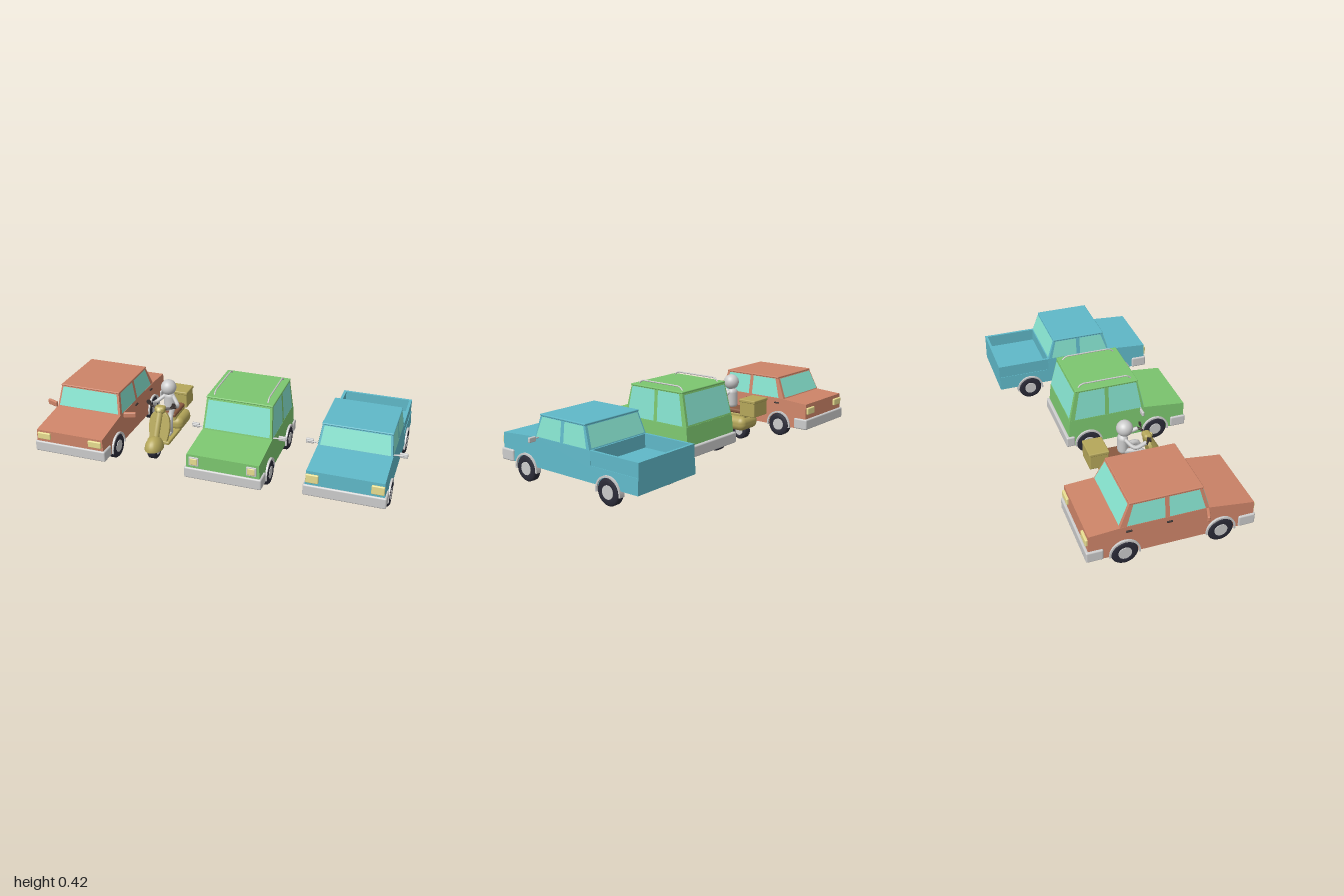
import * as THREE from 'three';
import { RoundedBoxGeometry } from 'three/addons/geometries/RoundedBoxGeometry.js';

const mat = (color) => new THREE.MeshStandardMaterial({ color });
const GREY = mat(0xcccccc), TYRE = mat(0x2b2b38), LAMP = mat(0xe8dd90), DARK = mat(0x3a3230);
const GOLD = mat(0xb5a75a), SEAT = mat(0x8a5a40);
const GLASS = new THREE.MeshStandardMaterial({ color: 0x86e3cf, side: THREE.DoubleSide });
const V = (x, y, z) => new THREE.Vector3(x, y, z);

function add(parent, name, geometry, material, x = 0, y = 0, z = 0) {
  const m = new THREE.Mesh(geometry, material);
  m.name = name;
  m.position.set(x, y, z);
  parent.add(m);
  return m;
}
const box = (w, h, d, r = 0.005) => new RoundedBoxGeometry(w, h, d, 2, r);

// Side profile of [z, y] points, spread across x to the half width w(y)
function prism(profile, w) {
  const shape = new THREE.Shape(profile.map(([z, y]) => new THREE.Vector2(-z, y)));
  const g = new THREE.ExtrudeGeometry(shape, { depth: 2, bevelEnabled: false });
  g.translate(0, 0, -1).rotateY(Math.PI / 2);
  const p = g.attributes.position;
  for (let i = 0; i < p.count; i++) p.setX(i, p.getX(i) * w(p.getY(i)));
  g.computeVertexNormals();
  return g;
}

// Flat pane from four corners
function pane(corners) {
  const g = new THREE.BufferGeometry().setFromPoints(corners);
  g.setIndex([0, 1, 2, 0, 2, 3]);
  g.computeVertexNormals();
  return g;
}

// Rod along a smooth path
const rod = (points, r) => new THREE.TubeGeometry(new THREE.CatmullRomCurve3(points), 16, r, 8);

function wheel(parent, name, x, y, z, r, width) {
  const g = new THREE.Group();
  g.name = name;
  g.position.set(x, y, z);
  parent.add(g);
  const b = 0.008, h = width / 2;
  const outline = [[0.001, -h], [r - b, -h], [r, -h + b], [r, h - b], [r - b, h], [r * 0.55, h], [r * 0.5, h - 0.004], [0.001, h - 0.004]];
  const tyre = new THREE.LatheGeometry(outline.map(([a, c]) => new THREE.Vector2(a, c)), 32);
  add(g, 'tyre', tyre.rotateZ(x < 0 ? Math.PI / 2 : -Math.PI / 2), TYRE);
  add(g, 'hub', new THREE.CylinderGeometry(r * 0.5, r * 0.5, width + 0.002, 24).rotateZ(Math.PI / 2), GREY);
}

// Half ring around a wheel
function archGeometry(r) {
  const s = new THREE.Shape();
  s.absarc(0, 0, r + 0.011, -0.15, Math.PI + 0.15, false);
  s.absarc(0, 0, r + 0.002, Math.PI + 0.15, -0.15, true);
  return new THREE.ExtrudeGeometry(s, { depth: 0.03, bevelEnabled: false, curveSegments: 20 })
    .translate(0, 0, -0.015).rotateY(Math.PI / 2);
}

function car(o) {
  const g = new THREE.Group();
  g.name = o.name;
  g.position.x = o.x;
  const paint = mat(o.color), { belt, roof, roofHalf, cabin } = o;
  const bodyW = (y) => 0.198 - 0.008 * (y - o.bottom) / (belt - o.bottom);
  const cabinW = (y) => 0.189 - (0.189 - roofHalf) * (y - belt) / (roof - belt);
  add(g, 'body', prism(o.body, bodyW), paint);

  // Cabin: [rear base, front base, front top, rear top] along z
  const [rb, fb, ft, rt] = cabin;
  add(g, 'cabin', prism([[rb, belt - 0.005], [fb, belt - 0.005], [ft, roof], [rt, roof]], cabinW), paint);
  add(g, 'roof', box(roofHalf * 2 + 0.008, 0.01, ft - rt + 0.008, 0.004), paint, 0, roof - 0.003, (ft + rt) / 2);

  // Windscreen and rear window
  for (const [base, top, dir, name] of [[fb, ft, 1, 'windscreen'], [rb, rt, -1, 'rearWindow']]) {
    const at = (t, s) => {
      const y = belt + (roof - belt) * t;
      return V(s * dir * (cabinW(y) - 0.011), y + 0.001, base + (top - base) * t + dir * 0.003);
    };
    add(g, name, pane([at(0.05, -1), at(0.05, 1), at(0.91, 1), at(0.91, -1)]), GLASS);
  }
  // Two side windows on each side
  const low = belt + 0.003, high = roof - 0.01;
  for (const s of [-1, 1]) {
    for (const w of o.windows) {
      const pts = [[w[0], low], [w[1], low], [w[2], high], [w[3], high]];
      add(g, 'sideWindow', pane(pts.map(([z, y]) => V(s * (cabinW(y) + 0.002), y, z))), GLASS);
    }
    // Wheels and arches
    for (const z of o.wheels) {
      wheel(g, 'wheel', s * 0.184, 0.066, z, 0.066, 0.042);
      add(g, 'wheelArch', archGeometry(0.066), GREY, s * 0.19, 0.066, z);
    }
    // Headlights
    const [lx, ly, lw, lh] = o.lamp;
    if (o.lampFrame) add(g, 'lampFrame', box(lw + 0.012, lh + 0.012, 0.012, 0.003), GREY, s * lx, ly, 0.443);
    add(g, 'headlight', box(lw, lh, 0.022), LAMP, s * lx, ly, 0.441);
    if (o.tailLamps) add(g, 'tailLight', box(lw, lh, 0.02), LAMP, s * lx, ly + 0.01, -0.388);
    // Door mirrors
    if (o.paintedMirrors) {
      const m = add(g, 'mirror', box(0.068, 0.032, 0.016, 0.006), paint, s * 0.234, belt, 0.184);
      m.rotation.y = s * 0.35;
    } else {
      add(g, 'mirrorArm', rod([V(s * 0.18, belt, 0.19), V(s * 0.21, belt + 0.002, 0.187), V(s * 0.25, belt + 0.004, 0.187)], 0.004), GREY);
      add(g, 'mirror', box(0.042, 0.026, 0.014), GREY, s * 0.237, belt + 0.002, 0.18);
    }
    if (o.handles) for (const z of [0.01, -0.19]) add(g, 'doorHandle', box(0.008, 0.009, 0.03, 0.003), DARK, s * 0.195, 0.19, z);
    // Roof rails
    if (o.rails) add(g, 'roofRail', rod([V(s * 0.145, roof, 0.145), V(s * 0.145, roof + 0.019, 0.125),
      V(s * 0.145, roof + 0.02, 0.1), V(s * 0.145, roof + 0.02, -0.1), V(s * 0.145, roof + 0.019, -0.13), V(s * 0.145, roof, -0.15)], 0.004), GREY);
    // Cargo bed sides
    if (o.bed) add(g, 'bedSide', new THREE.BoxGeometry(0.014, 0.075, 0.295), paint, s * 0.184, 0.1975, -0.3075);
  }
  if (o.bed) add(g, 'tailgate', new THREE.BoxGeometry(0.38, 0.075, 0.014), paint, 0, 0.1975, -0.448);

  // Bumpers
  add(g, 'frontBumper', box(0.41, 0.06, 0.086, 0.008), GREY, 0, o.bumperY, 0.408);
  if (o.rearBumper) {
    const [z, d] = o.rearBumper;
    add(g, 'rearBumper', box(0.41, 0.06, d, 0.008), GREY, 0, o.bumperY, z + d / 2);
  }
  return g;
}

function scooter() {
  const g = new THREE.Group();
  g.name = 'scooterAndRider';
  g.position.x = -0.345;
  wheel(g, 'frontWheel', 0, 0.048, 0.22, 0.048, 0.05);
  wheel(g, 'rearWheel', 0, 0.048, -0.08, 0.048, 0.05);

  // Front mudguard and leg shield
  const guard = add(g, 'frontMudguard', new THREE.SphereGeometry(1, 24, 12, 0, Math.PI * 2, 0, Math.PI / 2), GOLD, 0, 0.058, 0.22);
  guard.material = new THREE.MeshStandardMaterial({ color: 0xb5a75a, side: THREE.DoubleSide });
  guard.scale.set(0.05, 0.065, 0.066);
  const s = new THREE.Shape();
  s.moveTo(-0.045, 0);
  s.lineTo(0.045, 0);
  s.quadraticCurveTo(0.066, 0.08, 0.05, 0.13);
  s.quadraticCurveTo(0.035, 0.165, 0, 0.165);
  s.quadraticCurveTo(-0.035, 0.165, -0.05, 0.13);
  s.quadraticCurveTo(-0.066, 0.08, -0.045, 0);
  const shield = add(g, 'legShield', new THREE.ExtrudeGeometry(s, { depth: 0.012, bevelSize: 0.004, bevelThickness: 0.004, bevelSegments: 2 }), GOLD, 0, 0.07, 0.15);
  shield.rotation.x = -0.25;
  add(g, 'steeringColumn', rod([V(0, 0.09, 0.2), V(0, 0.16, 0.165), V(0, 0.25, 0.115)], 0.018), GOLD);

  // Floor, rear body, seat and cargo box
  add(g, 'floorBoard', box(0.13, 0.02, 0.19, 0.006), GOLD, 0, 0.066, 0.075);
  add(g, 'rearBody', new RoundedBoxGeometry(0.16, 0.08, 0.16, 4, 0.035), GOLD, 0, 0.1, -0.065);
  add(g, 'seatBase', box(0.09, 0.05, 0.14, 0.012), GOLD, 0, 0.135, -0.06);
  add(g, 'seat', box(0.1, 0.025, 0.15, 0.01), SEAT, 0, 0.168, -0.04);
  add(g, 'cargoBox', box(0.126, 0.085, 0.1), GOLD, 0, 0.193, -0.16);
  add(g, 'cargoLid', box(0.132, 0.018, 0.106), GOLD, 0, 0.238, -0.16);

  // Handlebar with headlight
  add(g, 'handlebar', rod([V(-0.08, 0.25, 0.085), V(-0.04, 0.25, 0.11), V(0.04, 0.25, 0.11), V(0.08, 0.25, 0.085)], 0.006), DARK);
  add(g, 'handlebarCowl', new RoundedBoxGeometry(0.06, 0.04, 0.045, 3, 0.016), GOLD, 0, 0.245, 0.118);
  add(g, 'headlight', new THREE.SphereGeometry(0.015, 16, 12), LAMP, 0, 0.246, 0.134);

  // Rider
  add(g, 'riderHead', new THREE.SphereGeometry(0.043, 28, 20), GREY, 0, 0.321, -0.005);
  add(g, 'riderTorso', new THREE.CapsuleGeometry(0.027, 0.065, 6, 16), GREY, 0, 0.228, -0.015).scale.x = 1.2;
  for (const k of [-1, 1]) {
    add(g, 'riderArm', rod([V(k * 0.025, 0.265, -0.01), V(k * 0.065, 0.235, 0.03), V(k * 0.065, 0.253, 0.09)], 0.011), GREY);
    add(g, 'riderLeg', rod([V(k * 0.018, 0.19, -0.01), V(k * 0.04, 0.183, 0.08), V(k * 0.04, 0.13, 0.085), V(k * 0.035, 0.09, 0.07)], 0.015), GREY);
    add(g, 'riderFoot', box(0.026, 0.018, 0.05, 0.007), GREY, k * 0.035, 0.085, 0.085);
    add(g, 'mirrorStem', rod([V(k * 0.05, 0.25, 0.105), V(k * 0.062, 0.265, 0.107), V(k * 0.07, 0.275, 0.107)], 0.003), DARK);
    add(g, 'mirror', new THREE.CylinderGeometry(0.012, 0.012, 0.007, 16).rotateX(Math.PI / 2), DARK, k * 0.073, 0.272, 0.107);
  }
  return g;
}

export function createModel() {
  const model = new THREE.Group();
  model.name = 'vehicles';
  model.add(car({
    name: 'saloonCar', x: -0.732, color: 0xcd8468, bottom: 0.06, belt: 0.215, roof: 0.335, roofHalf: 0.17,
    body: [[0.443, 0.06], [0.443, 0.185], [0.21, 0.215], [-0.23, 0.215], [-0.385, 0.205], [-0.39, 0.06]],
    cabin: [-0.235, 0.21, 0.175, -0.18], wheels: [0.274, -0.21],
    windows: [[0.19, 0.01, 0.01, 0.16], [-0.012, -0.2, -0.165, -0.012]],
    lamp: [0.148, 0.155, 0.075, 0.038], bumperY: 0.09, rearBumper: [-0.4, 0.085],
    tailLamps: true, paintedMirrors: true, handles: true,
  }));
  model.add(scooter());
  model.add(car({
    name: 'estateCar', x: 0.122, color: 0x7cc66f, bottom: 0.06, belt: 0.218, roof: 0.393, roofHalf: 0.176,
    body: [[0.443, 0.06], [0.443, 0.195], [0.21, 0.218], [-0.212, 0.218], [-0.225, 0.06]],
    cabin: [-0.212, 0.21, 0.17, -0.172], wheels: [0.274, -0.11],
    windows: [[0.193, 0.008, 0.008, 0.163], [-0.014, -0.185, -0.155, -0.014]],
    lamp: [0.152, 0.158, 0.04, 0.038], lampFrame: true, bumperY: 0.09, rearBumper: [-0.236, 0.048], rails: true,
  }));
  model.add(car({
    name: 'pickupTruck', x: 0.74, color: 0x5fb8c8, bottom: 0.086, belt: 0.234, roof: 0.347, roofHalf: 0.175,
    body: [[0.443, 0.086], [0.443, 0.218], [0.21, 0.234], [-0.16, 0.234], [-0.16, 0.165], [-0.455, 0.165], [-0.455, 0.086]],
    cabin: [-0.155, 0.213, 0.18, -0.115], wheels: [0.274, -0.277],
    windows: [[0.204, 0.038, 0.038, 0.168], [0.016, -0.135, -0.108, 0.016]],
    lamp: [0.16, 0.179, 0.064, 0.047], bumperY: 0.112, bed: true,
  }));
  return model;
}
